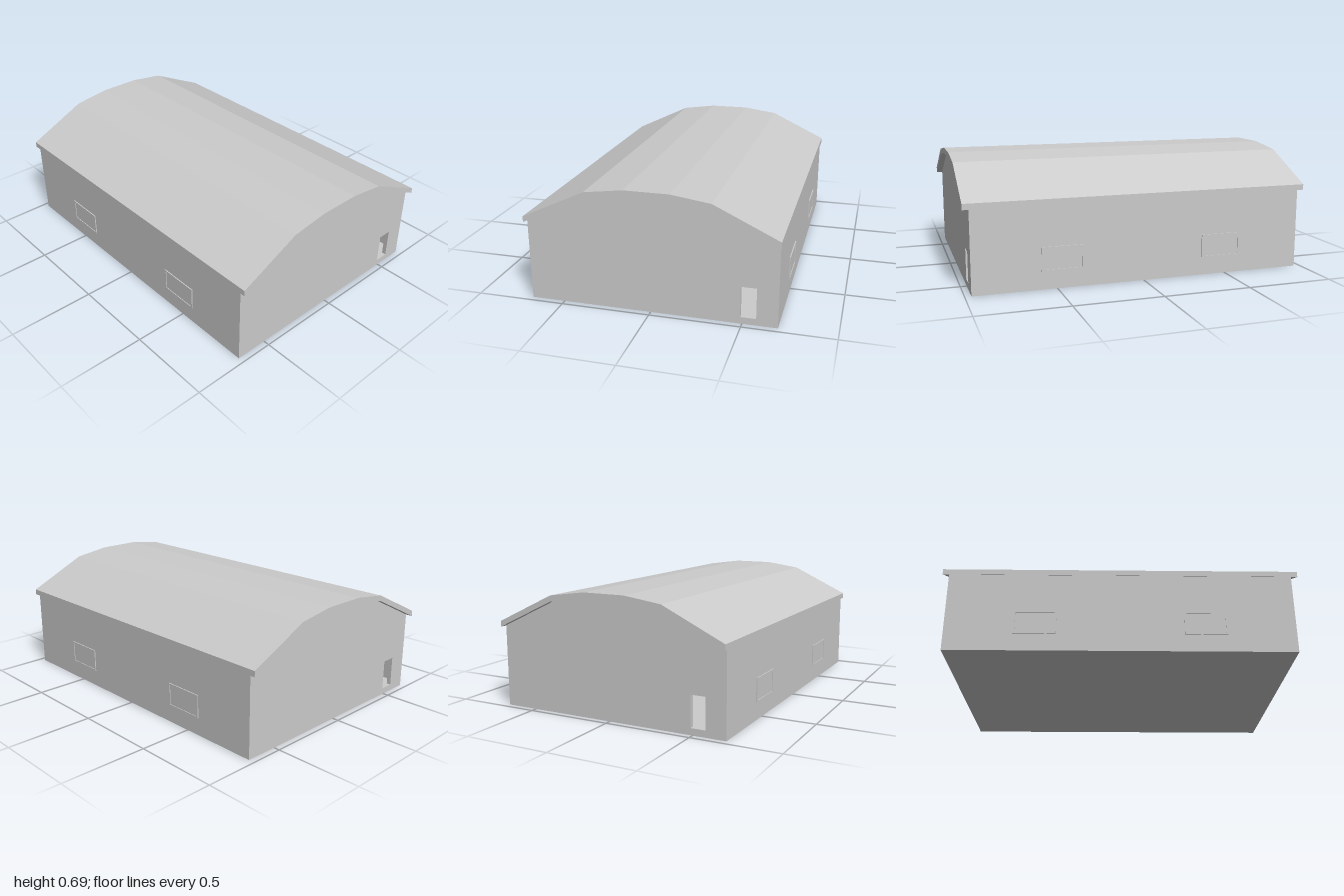
import * as THREE from 'three';

const material = new THREE.MeshStandardMaterial({ color: 0xcccccc, flatShading: true });
const WALL = 0.025, HALF_X = 0.965, HALF_Z = 0.69, ROOF = 0.033;
// Upper roof line as [z, y], from one eave to the other
const half = [[0.697, 0.497], [0.342, 0.665], [0.125, 0.695]];
const roofLine = [...half, ...half.slice().reverse().map(([z, y]) => [-z, y])];

function add(parent, name, geometry, x = 0, y = 0, z = 0) {
  const mesh = new THREE.Mesh(geometry, material);
  mesh.name = name;
  mesh.position.set(x, y, z);
  parent.add(mesh);
  return mesh;
}

const polygon = (points) => new THREE.Shape(points.map(([a, b]) => new THREE.Vector2(a, b)));

function rectangle(x0, y0, x1, y1) {
  return polygon([[x0, y0], [x1, y0], [x1, y1], [x0, y1]]);
}

// Extrude a (z, y) profile along x, centred on x = 0
function extrudeAlongX(shape, length) {
  const geometry = new THREE.ExtrudeGeometry(shape, { depth: length, bevelEnabled: false });
  geometry.translate(0, 0, -length / 2);
  return geometry.rotateY(-Math.PI / 2);
}

// Raised frame around a pane, facing +z from the wall surface
function createWindow(width, height) {
  const group = new THREE.Group();
  group.name = 'window';
  const w = width / 2, h = height / 2, border = 0.01;
  const shape = rectangle(-w, -h, w, h);
  shape.holes.push(rectangle(-w + border, -h + border, w - border, h - border));
  add(group, 'windowFrame', new THREE.ExtrudeGeometry(shape, { depth: 0.006, bevelEnabled: false }));
  add(group, 'windowPane', new THREE.BoxGeometry(width - border, height - border, 0.004));
  return group;
}

export function createModel() {
  const model = new THREE.Group();
  model.name = 'building';

  // Faceted roof shell
  const underside = roofLine.map(([z, y]) => [z, y - ROOF]);
  add(model, 'roof', extrudeAlongX(polygon([...roofLine, ...underside.slice().reverse()]), 2));

  // Floor slab
  add(model, 'floor', new THREE.BoxGeometry(2 * (HALF_X - WALL), 0.03, 2 * (HALF_Z - WALL)), 0, 0.015, 0);

  // Gable end, meeting the underside of the roof, with a doorway near one corner
  const eave = 0.467;
  const gable = polygon([[-HALF_Z, 0], [HALF_Z, 0], [HALF_Z, eave],
    ...underside.slice(1, -1), [-HALF_Z, eave]]);
  gable.holes.push(rectangle(-0.575, 0.038, -0.49, 0.213));
  const gableGeometry = extrudeAlongX(gable, WALL);

  // Each half of the building is the other turned by 180 degrees
  for (const side of [0, 1]) {
    const part = new THREE.Group();
    part.name = side ? 'backAndRightWalls' : 'frontAndLeftWalls';
    part.rotation.y = side * Math.PI;
    add(part, 'endWall', gableGeometry, HALF_X - WALL / 2, 0, 0);
    add(part, 'longWall', new THREE.BoxGeometry(2 * (HALF_X - WALL), eave, WALL),
      0, eave / 2, HALF_Z - WALL / 2);
    for (const x of [-0.47, 0.47]) {
      const unit = createWindow(0.236, 0.136);
      unit.position.set(x, 0.168, HALF_Z);
      part.add(unit);
    }
    model.add(part);
  }
  return model;
}
